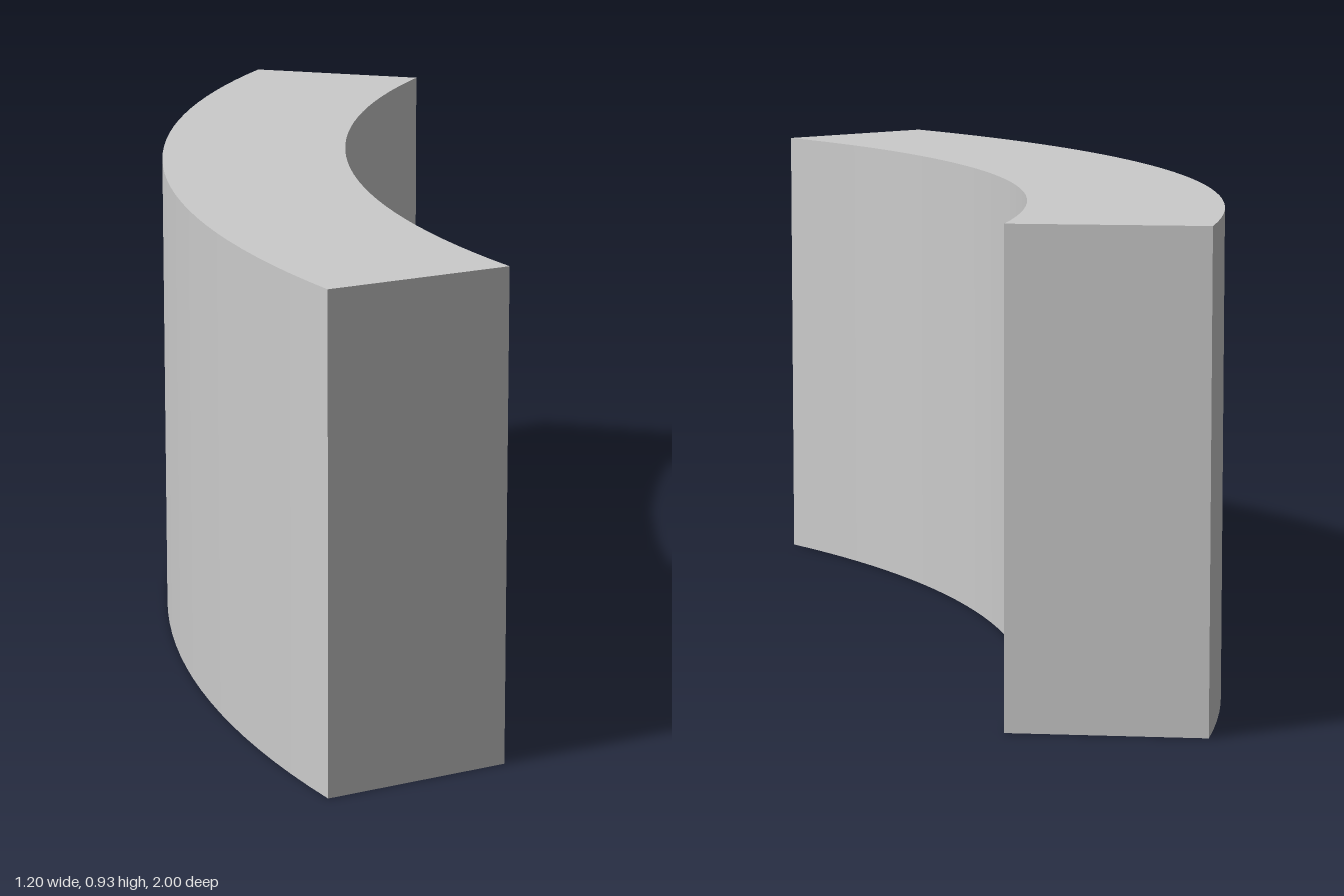
import * as THREE from 'three';

const SEGMENTS = 32;
const HEIGHT = 0.925;

// Plan points of an arc that leaves (x, z = 1) heading straight back and bends towards +x
function arcPoints(x, radius, sweep) {
  const points = [];
  for (let i = 0; i <= SEGMENTS; i++) {
    const a = (sweep * i) / SEGMENTS;
    points.push(new THREE.Vector2(x + radius * (1 - Math.cos(a)), -1 + radius * Math.sin(a)));
  }
  return points;
}

export function createModel() {
  const group = new THREE.Group();
  group.name = 'curvedWall';

  // Plan outline: outer curve one way, inner curve back
  const outer = arcPoints(-0.6, 2.588, THREE.MathUtils.degToRad(50.6));
  const inner = arcPoints(-0.233, 2.215, THREE.MathUtils.degToRad(51.4));
  const outline = new THREE.Shape([...outer, ...inner.reverse()]);

  // Raise the plan to the wall's height
  const geometry = new THREE.ExtrudeGeometry(outline, { depth: HEIGHT, bevelEnabled: false });
  geometry.rotateX(-Math.PI / 2);

  const wall = new THREE.Mesh(
    geometry,
    new THREE.MeshStandardMaterial({ color: 0xcccccc, flatShading: true })
  );
  wall.name = 'wall';
  group.add(wall);
  return group;
}
